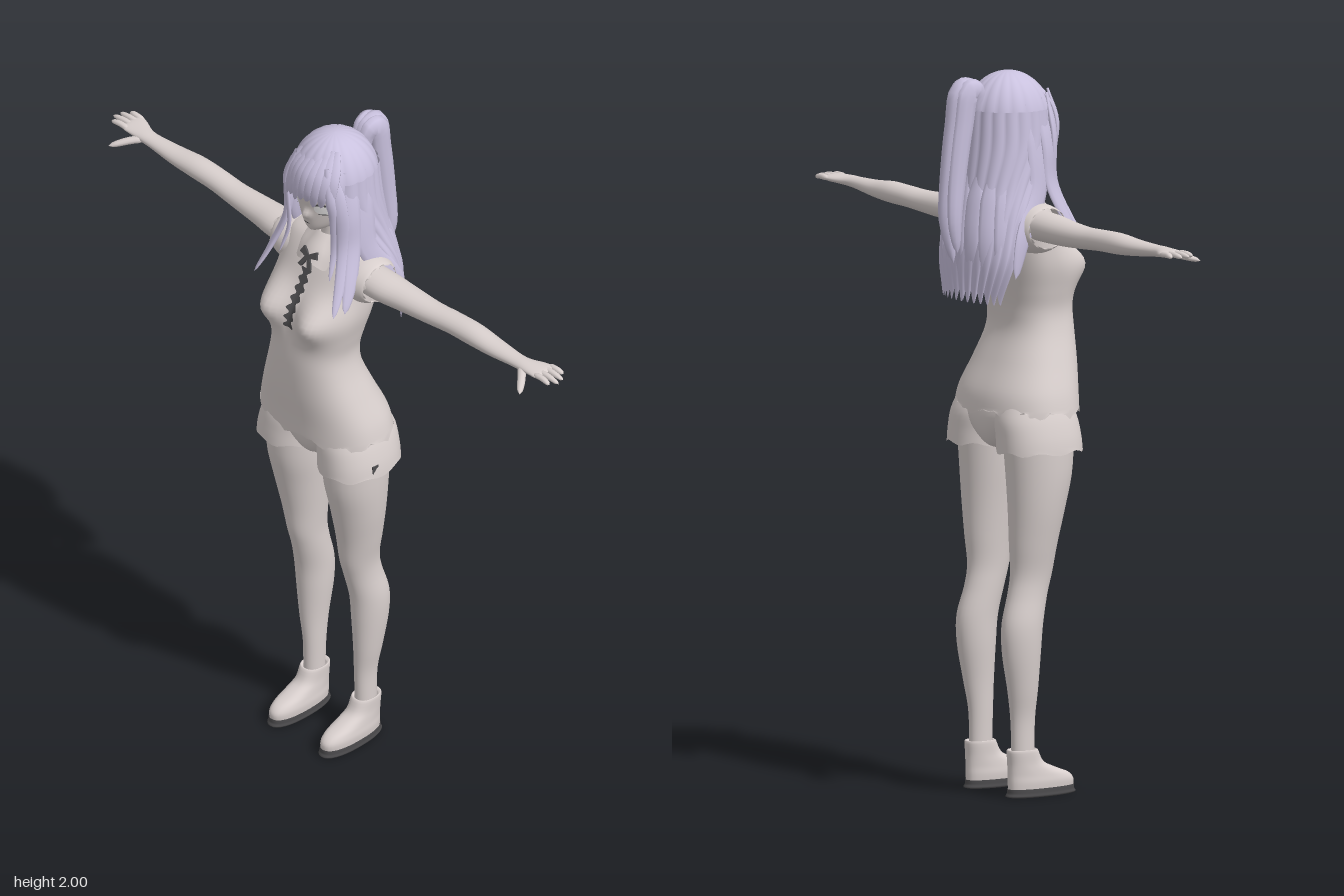
import * as THREE from 'three';

const mat = (name, color, side = THREE.DoubleSide) => {
  const m = new THREE.MeshStandardMaterial({ color, side });
  m.name = name;
  return m;
};
const { PI, sin, cos, abs, sign, pow, exp, sqrt, min } = Math;
const gauss = (d, s) => exp(-(d * d) / (s * s));

// Smooth blend through the rows of a table, t in 0..1
function blend(rows, t) {
  const n = rows.length - 1, i = min(n - 1, Math.floor(t * n)), f = t * n - i;
  const r = k => rows[Math.max(0, min(n, k))];
  return rows[0].map((_, c) => {
    const [a, b, d, e] = [r(i - 1)[c], r(i)[c], r(i + 1)[c], r(i + 2)[c]];
    return b + 0.5 * f * (d - a + f * (2 * a - 5 * b + 4 * d - e + f * (3 * (b - d) + e - a)));
  });
}

// Surface from fn(u, v); v wraps round when closed
function skin(fn, nu, nv, closed = true) {
  const pos = [], idx = [], w = closed ? nv : nv + 1;
  for (let i = 0; i <= nu; i++) for (let j = 0; j < w; j++) pos.push(...fn(i / nu, j / nv));
  for (let i = 0; i < nu; i++) for (let j = 0; j < nv; j++) {
    const k = (j + 1) % w, a = i * w + j, b = i * w + k, c = a + w, d = b + w;
    idx.push(a, b, d, a, d, c);
  }
  const g = new THREE.BufferGeometry();
  g.setAttribute('position', new THREE.Float32BufferAttribute(pos, 3));
  g.setIndex(idx);
  g.computeVertexNormals();
  return g;
}

// Rows of [y, centre x, half width, front z, back z], bottom to top
function ringPoint(rows, p, u, v) {
  const [y, cx, rx, zf, zb] = blend(rows, u), s = sin(v * 2 * PI), c = cos(v * 2 * PI);
  return [cx + rx * sign(s) * pow(abs(s), p), y, (zf + zb) / 2 + (zf - zb) / 2 * sign(c) * pow(abs(c), p)];
}
const loft = (rows, nu, nv, p = 1, tweak = q => q) =>
  skin((u, v) => tweak(ringPoint(rows, p, u, v), u, v), nu, nv);

// Front depth of such a loft at x, y
function frontZ(rows, p, tweak, x, y) {
  let lo = 0, hi = 1;
  for (let i = 0; i < 24; i++) {
    const m = (lo + hi) / 2;
    if (blend(rows, m)[0] < y) lo = m; else hi = m;
  }
  const [, , rx, zf, zb] = blend(rows, lo);
  const z = (zf + zb) / 2 + (zf - zb) / 2 * pow(Math.max(0, 1 - pow(abs(x) / rx, 2 / p)), p / 2);
  return tweak([x, y, z])[2];
}

// Tapered strand along a curve, wide in direction wide
function strand(points, w, t, wide, nu = 16, blunt = 3) {
  const curve = new THREE.CatmullRomCurve3(points.map(p => new THREE.Vector3(...p)));
  const W0 = new THREE.Vector3(...wide);
  return skin((u, v) => {
    const c = curve.getPoint(u), T = curve.getTangent(u);
    const W = W0.clone().addScaledVector(T, -W0.dot(T)).normalize(), N = W.clone().cross(T);
    const k = min(1, 0.5 + 3 * u) * sqrt(Math.max(0, 1 - pow(u, blunt)));
    c.addScaledVector(W, w * k * sin(v * 2 * PI)).addScaledVector(N, t * k * cos(v * 2 * PI));
    return c.toArray();
  }, nu, 10);
}

function mirrored(geo) {
  const g = geo.clone().scale(-1, 1, 1), a = g.index.array;
  for (let i = 0; i < a.length; i += 3) [a[i], a[i + 1]] = [a[i + 1], a[i]];
  g.computeVertexNormals();
  return g;
}

export function createModel() {
  const skinMat = mat('warm grey', 0xd9d0ce), hairMat = mat('lavender', 0xc9c1de);
  const darkMat = mat('charcoal', 0x4c4b4d), whiteMat = mat('eye white', 0xf0eeee);
  const root = new THREE.Group();
  const add = (name, geo, m = skinMat) => {
    const mesh = new THREE.Mesh(geo, m);
    mesh.name = name;
    root.add(mesh);
    return mesh;
  };
  const pair = (name, geo, m) => { add(name + 'Left', geo, m); add(name + 'Right', mirrored(geo), m); };

  // Shirt with flared, ragged hem
  const torso = [[1.065, 0, .208, .185, -.085], [1.12, 0, .195, .188, -.075], [1.2, 0, .165, .195, -.04],
    [1.28, 0, .137, .197, -.01], [1.34, 0, .127, .195, -.01], [1.4, 0, .137, .188, -.022], [1.47, 0, .152, .172, -.04],
    [1.54, 0, .156, .142, -.058], [1.6, 0, .158, .115, -.06], [1.64, 0, .145, .09, -.055], [1.662, 0, .085, .07, -.03],
    [1.675, 0, .035, .05, 0]];
  const bust = ([x, y, z], u = 1, v = 0) => {
    const b = z > .04 ? min(1, (z - .04) / .06) * gauss(abs(x) - .078, .055) * gauss(y - 1.465, .06) : 0;
    const hem = u === 0 ? .008 * sin(v * 62) + .005 * sin(v * 151) : 0;
    return [x * (1 + .07 * b), y + hem, z + .055 * b];
  };
  add('shirt', loft(torso, 60, 64, .85, bust));

  // Collar
  add('collar', loft([[1.6, 0, .1, .128, -.07], [1.635, 0, .092, .108, -.06], [1.665, 0, .065, .085, -.035],
    [1.685, 0, .045, .07, -.018]], 10, 48, 1, ([x, y, z], u, v) => [x, y + (1 - u) * .014 * abs(cos(v * 6 * PI)), z]));

  // Front ribbon and bow
  add('ribbon', skin((u, v) => {
    const y = 1.425 + .165 * u, x = (v - .5) * (.026 + .012 * sin(u * 40));
    return [x, y, frontZ(torso, .85, bust, x, y) + .007];
  }, 40, 4, false), darkMat);
  const bow = new THREE.Shape();
  bow.moveTo(0, .006);
  for (const [x, y] of [[.024, .024], [.032, .004], [.01, -.002], [.024, -.03], [.012, -.032], [0, -.008],
    [-.012, -.032], [-.024, -.03], [-.01, -.002], [-.032, .004], [-.024, .024]]) bow.lineTo(x, y);
  const bowMesh = add('bow', new THREE.ExtrudeGeometry(bow, { depth: .008, bevelEnabled: false }), darkMat);
  bowMesh.position.set(0, 1.625, .118);
  bowMesh.rotation.x = -.5;

  // Shorts
  add('shortsSeat', loft([[.95, 0, .004, .06, .02], [.965, 0, .04, .115, -.04], [1.0, 0, .1, .145, -.068],
    [1.05, 0, .17, .158, -.078], [1.1, 0, .175, .155, -.07]], 20, 40));
  pair('shortsLeg', loft([[.96, .118, .098, .166, -.08], [1.0, .114, .096, .164, -.08], [1.05, .104, .092, .158, -.078],
    [1.1, .095, .08, .14, -.06]], 12, 40, .9, ([x, y, z], u, v) => [x, y + (u === 0 ? .005 * sin(v * 44) : 0), z]));
  const tab = new THREE.BoxGeometry(.008, .032, .022).translate(.207, .982, .07);
  add('shortsTab', tab, darkMat);

  // Legs
  pair('leg', loft([[.07, .1, .026, .033, -.035], [.14, .1, .026, .034, -.035], [.22, .1, .028, .036, -.038],
    [.3, .105, .036, .041, -.05], [.4, .107, .046, .047, -.067], [.48, .107, .049, .054, -.068], [.56, .102, .047, .072, -.046],
    [.62, .102, .049, .088, -.036], [.7, .106, .06, .1, -.04], [.8, .11, .074, .12, -.044], [.9, .11, .084, .142, -.05],
    [1.02, .108, .088, .15, -.06]], 50, 28));

  // Shoes
  pair('shoe', loft([[.018, .1, .037, .163, -.045], [.04, .1, .039, .163, -.046], [.058, .1, .037, .145, -.046],
    [.074, .1, .035, .105, -.046], [.095, .1, .033, .062, -.046], [.13, .1, .033, .042, -.047], [.128, .1, .026, .034, -.036]],
    24, 32, .85));
  pair('sole', loft([[0, .1, .001, .06, .05], [0, .1, .038, .162, -.045], [.012, .1, .04, .166, -.048],
    [.024, .1, .04, .165, -.048]], 12, 32, .85), darkMat);

  // Arms, lofted along x: the same rows turned so that their axis points sideways
  const sideways = (rows, nu, nv, tweak = q => q) =>
    skin((u, v) => { const [a, b, c] = tweak(ringPoint(rows, 1, u, v), u, v); return [b, c, a]; }, nu, nv);
  pair('arm', sideways([[.1, .03, .05, 1.63, 1.545], [.2, .028, .052, 1.626, 1.545], [.28, .022, .045, 1.62, 1.547],
    [.38, .018, .038, 1.615, 1.553], [.46, .014, .036, 1.618, 1.559], [.54, .013, .036, 1.62, 1.561],
    [.62, .015, .032, 1.613, 1.567], [.7, .017, .025, 1.61, 1.576], [.74, .016, .026, 1.61, 1.58],
    [.78, .008, .035, 1.609, 1.585], [.805, .005, .036, 1.607, 1.588], [.815, .005, .02, 1.603, 1.592]], 48, 24));
  pair('sleeve', sideways([[.1, .02, .085, 1.648, 1.5], [.145, .024, .078, 1.648, 1.51], [.172, .026, .069, 1.643, 1.52],
    [.182, .027, .062, 1.638, 1.528]], 14, 40,
    ([z, x, y], u, v) => [z, x + (u === 1 ? .008 * sin(v * 69) : 0), y]));
  [[-.025, .845], [-.006, .865], [.014, .87], [.033, .855]].forEach(([z, end], i) =>
    pair('finger' + (i + 1), strand([[.79, 1.598, z], [.825, 1.6, z], [end, 1.596, z * 1.1]], .009, .008, [0, 0, 1], 10, 5)));
  pair('thumb', strand([[.735, 1.592, .025], [.765, 1.585, .055], [.803, 1.57, .1]], .012, .01, [1, 0, -1], 10, 5));

  // Neck and face
  add('neck', loft([[1.64, 0, .045, .065, -.02], [1.69, 0, .036, .058, -.02], [1.77, 0, .038, .06, -.025]], 8, 24));
  const face = [[1.712, 0, .003, .1, .085], [1.72, 0, .024, .116, .05], [1.745, 0, .055, .124, 0], [1.79, 0, .084, .128, -.05],
    [1.84, 0, .097, .132, -.075], [1.9, 0, .098, .128, -.08], [1.95, 0, .07, .1, -.06], [1.975, 0, .005, .02, .01]];
  const nose = ([x, y, z]) => [x, y, z + (z > .05 ? .016 * gauss(x, .012) * gauss(y - 1.778, .014) : 0)];
  add('face', loft(face, 50, 60, 1, nose));
  const facePatch = (cx, cy, w, h, lift, bend = 0) => skin((u, v) => {
    const a = v * 2 * PI, dx = u * w * sin(a), x = cx + dx, y = cy + u * h * cos(a) - bend * dx * dx;
    return [x, y, frontZ(face, 1, nose, x, y) + lift];
  }, 4, 20);
  pair('eye', facePatch(.05, 1.808, .022, .016, .003), whiteMat);
  pair('eyelash', facePatch(.05, 1.826, .025, .0035, .005, 12), darkMat);
  pair('lowerLash', facePatch(.052, 1.792, .014, .0015, .004), darkMat);
  add('mouth', facePatch(0, 1.748, .012, .0018, .003), darkMat);

  // Hair over the skull
  add('hairCap', skin((u, v) => {
    const a = v * 2 * PI, f = (1 + cos(a)) / 2, phi = (1 - u) * (2 - .62 * f * f);
    const r = sin(phi) * (1 + .03 * abs(sin(a * 9)));
    return [.116 * r * sin(a), 1.86 + .14 * cos(phi), .02 + .121 * r * cos(a)];
  }, 24, 108), hairMat);

  // Long hair down the back: rows of [y, half arc, half width, centre z, back z]
  const back = [[1.41, 1.15, .15, -.06, -.142], [1.5, 1.35, .172, -.05, -.148], [1.6, 1.5, .16, -.035, -.135],
    [1.7, 1.8, .138, -.008, -.12], [1.8, 2.1, .126, .015, -.108], [1.9, 2.1, .117, .02, -.1]];
  add('backHair', skin((u, v) => {
    const [y, arc, rx, zc, zb] = blend(back, u), a = PI + (v - .5) * 2 * arc;
    const r = 1 + .035 * abs(sin(v * PI * 14));
    return [rx * r * sin(a), y - (1 - u) ** 4 * .035 * abs(sin(v * PI * 14)), zc + (zc - zb) * r * cos(a)];
  }, 30, 112, false), hairMat);
  for (let i = -3; i <= 3; i++) {
    const s = sin(i * .36), c = cos(i * .36);
    add('backLock', strand([[.12 * s, 1.72, -.01 - .105 * c], [.155 * s, 1.55, -.045 - .1 * c],
      [.15 * s, 1.375 + .012 * abs(i), -.06 - .07 * c]], .028, .01, [c, 0, s]), hairMat);
  }

  // Locks framing the face
  pair('sideLockFront', strand([[.07, 1.94, .1], [.104, 1.83, .1], [.112, 1.7, .098], [.135, 1.6, .135], [.155, 1.525, .178]],
    .02, .009, [.7, 0, -.7], 24), hairMat);
  pair('sideLockMiddle', strand([[.09, 1.93, .06], [.118, 1.8, .07], [.126, 1.7, .075], [.15, 1.6, .11], [.166, 1.53, .145]],
    .026, .009, [.35, 0, -1], 24), hairMat);
  pair('sideLockBack', strand([[.1, 1.92, .02], [.122, 1.78, .03], [.135, 1.68, .025], [.165, 1.56, -.045], [.172, 1.45, -.075]],
    .036, .01, [.2, 0, -1], 24), hairMat);
  pair('cheekLock', strand([[.06, 1.95, .11], [.088, 1.86, .122], [.09, 1.78, .112], [.088, 1.68, .11], [.098, 1.6, .137]],
    .013, .007, [.8, 0, -.6], 20), hairMat);

  // Fringe
  for (let i = -4; i <= 4; i++) {
    const x = i * .021, d = .028 * x * x / .007;
    add('fringeLock', strand([[x * .5 + .008, 1.978, .075 - d * .5], [x * .9 + .006, 1.92, .134 - d],
      [x, 1.87, .147 - d], [x * 1.05 - .014, 1.825 - .004 * abs(i) + .008 * (i % 2), .142 - d]],
      .018, .007, [1, 0, -x * 6]), hairMat);
  }

  // Ponytail
  for (const [x, o, w, end] of [[0, 0, .03, 1.48], [.018, .012, .022, 1.53], [-.018, .012, .022, 1.51]])
    add('ponytail', strand([[x * .4, 1.87, -.08], [x * .7, 1.95, -.1], [x, 1.955, -.135 + o], [x, 1.86, -.155 + o],
      [x, 1.72, -.175 + o], [x * 1.2, 1.6, -.185 + o], [x, end, -.162]], w, .034, [1, 0, 0], 30), hairMat);
  return root;
}
